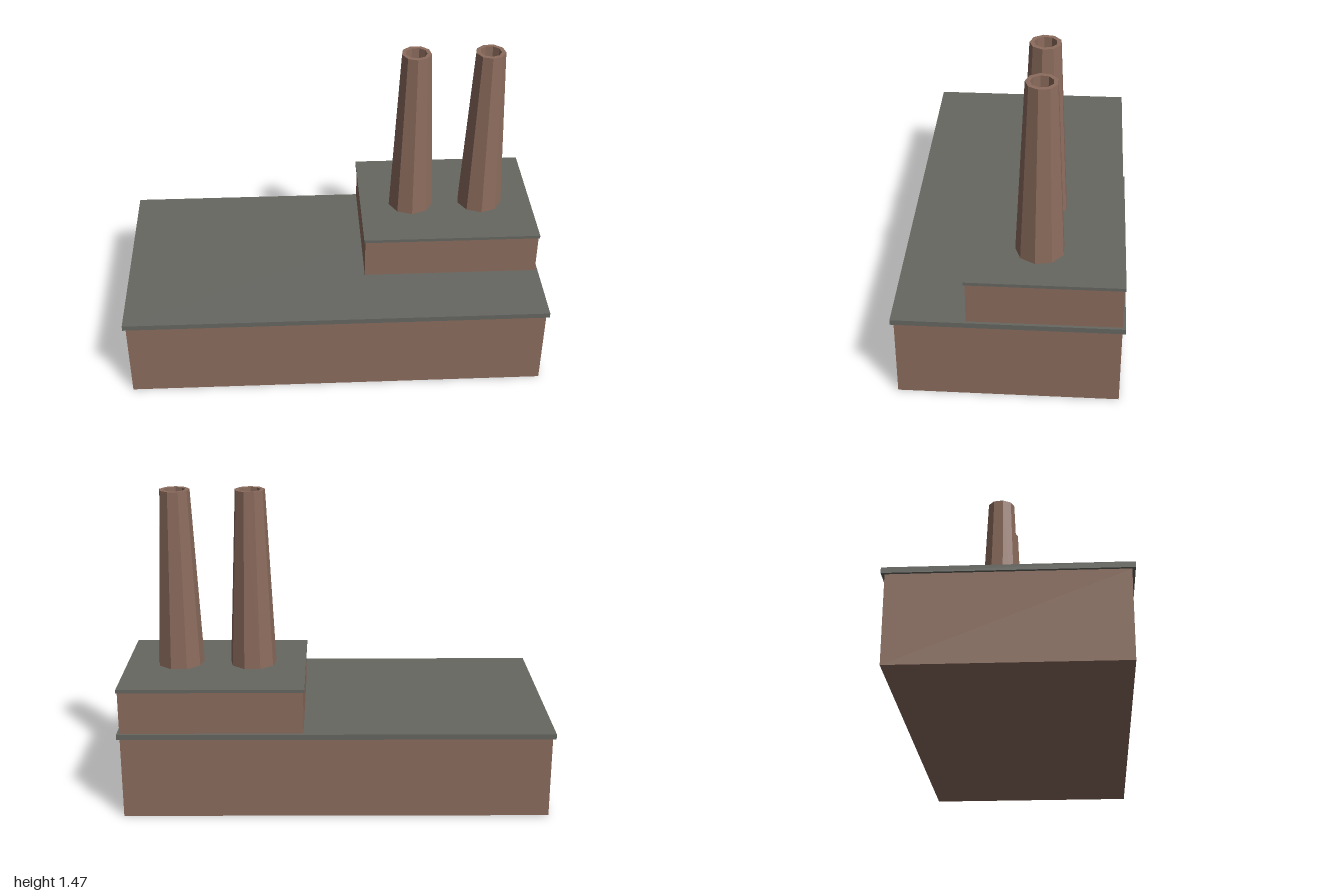
import * as THREE from 'three';

export function createModel() {
  const model = new THREE.Group();
  model.name = 'factory';

  const brick = new THREE.MeshStandardMaterial({ color: 0x8c6c5d });
  brick.name = 'brick brown';
  const slate = new THREE.MeshStandardMaterial({ color: 0x666761 });
  slate.name = 'roof grey';

  // Box given by its min and max corners
  function addBlock(name, material, [x0, y0, z0], [x1, y1, z1]) {
    const mesh = new THREE.Mesh(new THREE.BoxGeometry(x1 - x0, y1 - y0, z1 - z0), material);
    mesh.position.set((x0 + x1) / 2, (y0 + y1) / 2, (z0 + z1) / 2);
    mesh.name = name;
    model.add(mesh);
  }

  // Main hall and its overhanging roof slab
  addBlock('mainHall', brick, [-0.987, 0, -0.494], [0.987, 0.39, 0.494]);
  addBlock('mainRoof', slate, [-1, 0.39, -0.508], [1, 0.415, 0.508]);

  // Raised boiler house at the back corner
  addBlock('boilerHouse', brick, [0.15, 0.415, -0.494], [0.987, 0.615, 0.18]);
  addBlock('boilerRoof', slate, [0.144, 0.615, -0.5], [0.992, 0.63, 0.187]);

  // Tapered nine-sided chimneys with a hollow mouth
  const profile = [
    [0.11, 0.63], [0.07, 1.465], [0.05, 1.465], [0.05, 1.365], [0, 1.365],
  ].map(([r, y]) => new THREE.Vector2(r, y));
  const chimneyGeometry = new THREE.LatheGeometry(profile, 9).toNonIndexed();
  chimneyGeometry.computeVertexNormals();
  [0.738, 0.394].forEach((x, i) => {
    const chimney = new THREE.Mesh(chimneyGeometry, brick);
    chimney.position.set(x, 0, -0.128);
    chimney.name = i === 0 ? 'leftChimney' : 'rightChimney';
    model.add(chimney);
  });

  return model;
}
